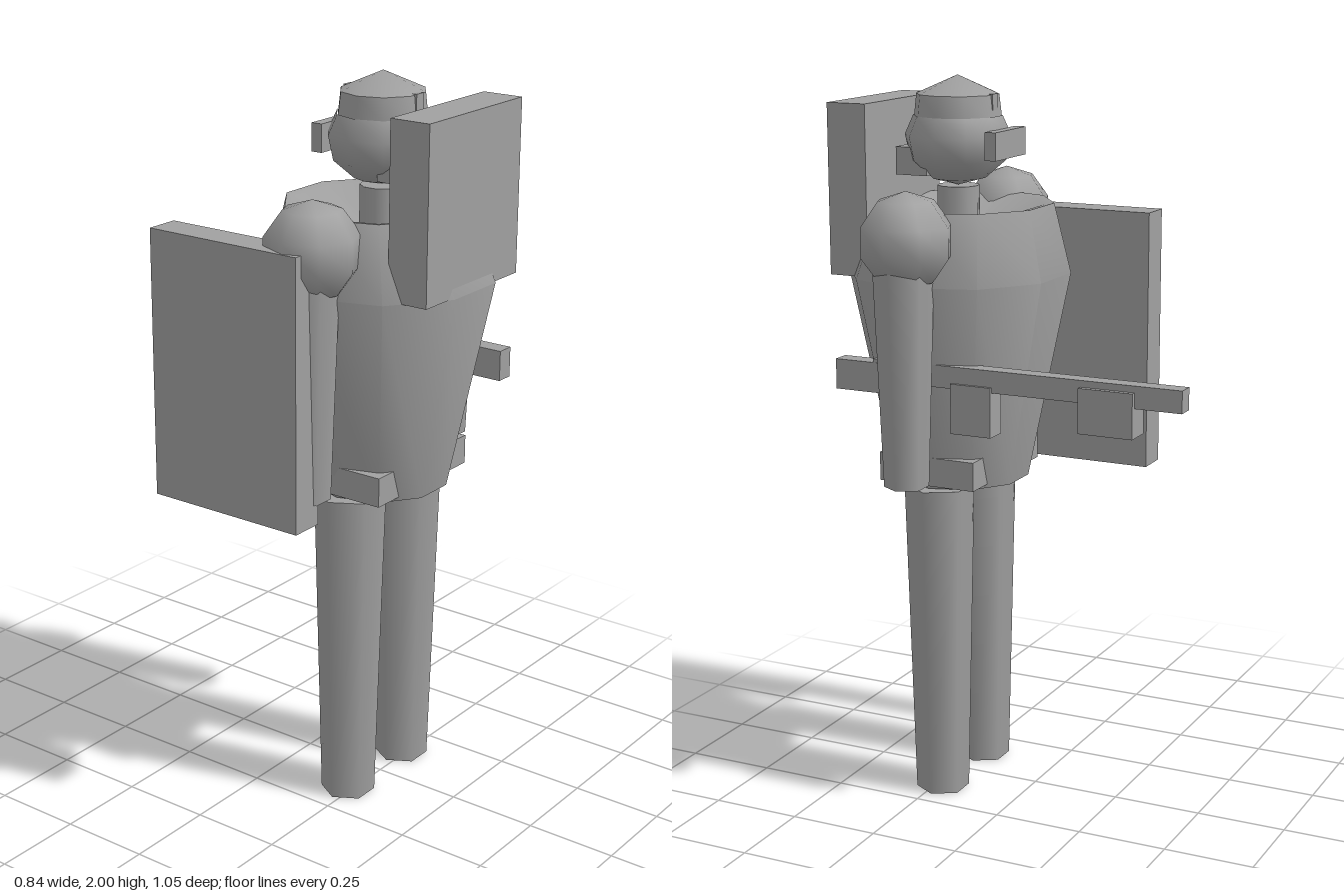
import * as THREE from 'three';
import { toCreasedNormals } from 'three/addons/utils/BufferGeometryUtils.js';

const BODY_Z = 0.231; // depth of the figure's vertical axis

export function createModel() {
  const model = new THREE.Group();
  model.name = 'armouredFigure';
  const grey = new THREE.MeshStandardMaterial({ color: 0xa0a0a0 });
  grey.name = 'plain grey';

  const add = (name, geometry, x = 0, y = 0, z = 0) => {
    const mesh = new THREE.Mesh(geometry, grey);
    mesh.name = name;
    mesh.position.set(x, y, z);
    model.add(mesh);
    return mesh;
  };

  // Box given by its lower and upper limits on each axis
  const box = (name, [x0, x1], [y0, y1], [z0, z1]) =>
    add(name, new THREE.BoxGeometry(x1 - x0, y1 - y0, z1 - z0),
      (x0 + x1) / 2, (y0 + y1) / 2, (z0 + z1) / 2);

  // Ten-sided turned part with a corner pointing to each side
  const turned = (profile) => {
    const points = profile.map(([r, y]) => new THREE.Vector2(r, y));
    return new THREE.LatheGeometry(points, 10).rotateY(Math.PI / 2);
  };

  // Six-sided tapering limb
  const limb = (name, x, y0, y1, r0, r1) =>
    add(name, new THREE.CylinderGeometry(r1, r0, y1 - y0, 6, 1, false, Math.PI / 2),
      x, (y0 + y1) / 2, BODY_Z);

  // Torso: tapered barrel whose rim turns in to a hollow collar
  const torso = turned([
    [0, 0.896], [0.19, 0.896], [0.308, 1.47], [0.25, 1.66], [0.222, 1.655], [0.05, 1.58], [0, 1.58],
  ]);
  const pos = torso.attributes.position;
  for (let i = 0; i < pos.count; i++) {
    if (pos.getY(i) > 1.5) pos.setZ(i, pos.getZ(i) - 0.013);
  }
  add('torso', toCreasedNormals(torso, 0.75), 0, 0, BODY_Z);
  box('belt', [-0.203, 0.203], [0.907, 0.987], [0.09, 0.376]);

  // Limbs and shoulders
  for (const [side, s] of [['left', 1], ['right', -1]]) {
    limb(side + 'Leg', s * 0.13, 0, 0.893, 0.074, 0.096);
    limb(side + 'Arm', s * 0.316, 0.935, 1.56, 0.06, 0.082);
    add(side + 'Shoulder', new THREE.SphereGeometry(0.13, 8, 5), s * 0.297, 1.593, BODY_Z);
  }

  // Neck, head and helmet
  add('neck', new THREE.CylinderGeometry(0.058, 0.058, 0.14, 10), 0, 1.635, BODY_Z);
  add('head', turned([
    [0, 1.705], [0.075, 1.725], [0.132, 1.775], [0.146, 1.84], [0.122, 1.893],
  ]), 0, 0, BODY_Z);
  add('helmet', toCreasedNormals(turned([
    [0.12, 1.888], [0.113, 1.95], [0, 2.0],
  ]), 1.0), 0, 0, BODY_Z);
  box('chinGuard', [-0.091, 0.091], [1.735, 1.81], [0.28, 0.373]);
  box('visor', [-0.092, 0.092], [1.785, 1.86], [0.073, 0.105]);
  box('frontHelmetStud', [-0.016, 0.016], [1.91, 1.953], [0.32, 0.345]);
  box('rearHelmetStud', [-0.016, 0.016], [1.91, 1.953], [0.118, 0.142]);

  // Pack and shield
  box('pack', [-0.208, 0.208], [1.47, 1.932], [0.4, 0.515]);
  box('shield', [-0.424, -0.331], [0.878, 1.61], [-0.193, 0.276]);

  // Rifle carried at the left hip
  box('rifleBarrel', [0.201, 0.249], [1.198, 1.258], [-0.527, 0.365]);
  box('rifleStock', [0.201, 0.251], [1.165, 1.248], [0.3, 0.48]);
  box('rifleMagazine', [0.193, 0.257], [1.077, 1.213], [0.01, 0.128]);
  box('rifleForegrip', [0.187, 0.263], [1.119, 1.24], [-0.397, -0.245]);

  return model;
}
